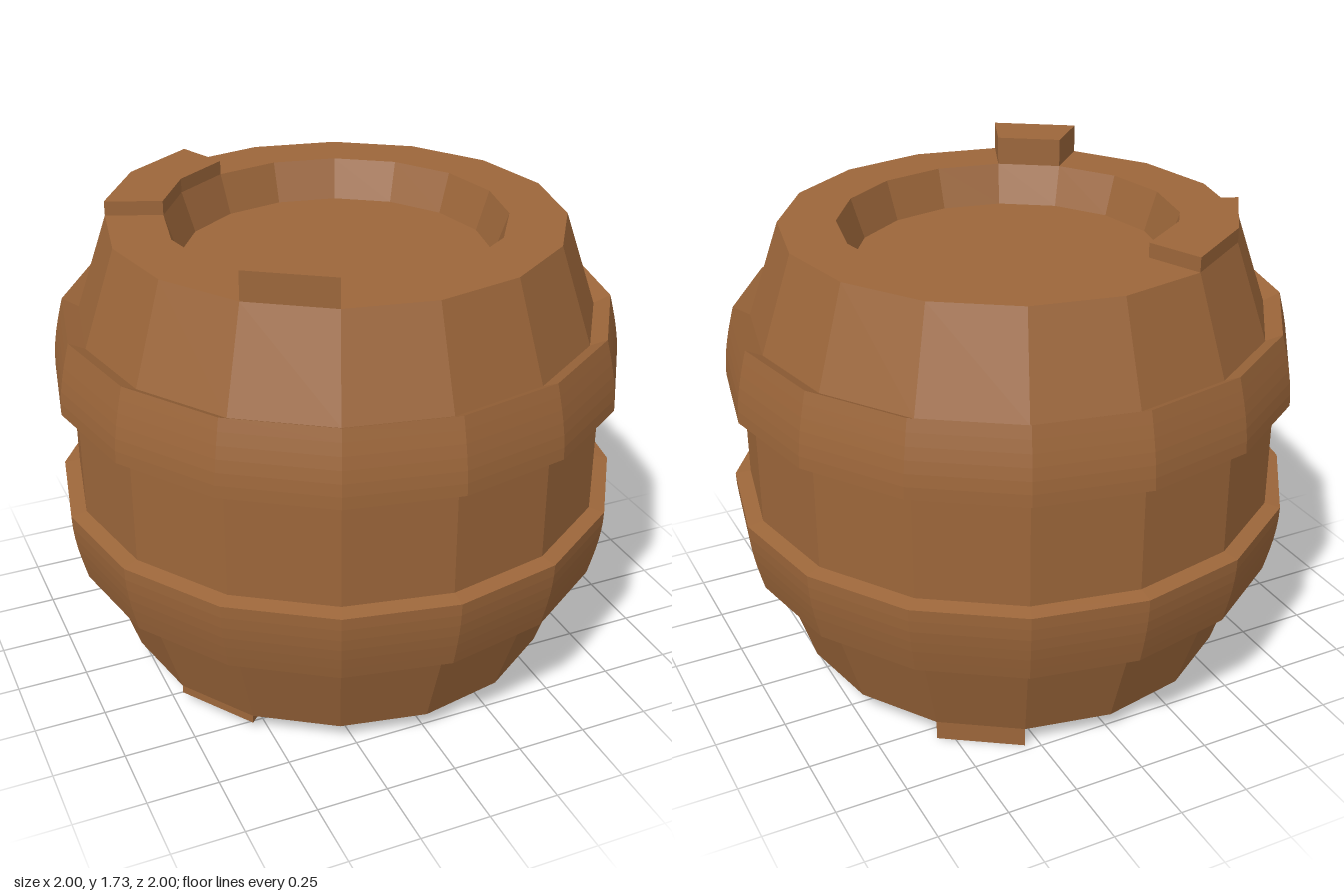
import * as THREE from 'three';

const SIDES = 16;
const STEP = (Math.PI * 2) / SIDES;
const RIM_INNER = 0.587;
const RIM_OUTER = 0.785;

const wood = new THREE.MeshStandardMaterial({ color: 0x9c663a, flatShading: true });

function part(name, geometry) {
  const flat = geometry.index ? geometry.toNonIndexed() : geometry;
  flat.computeVertexNormals();
  const mesh = new THREE.Mesh(flat, wood);
  mesh.name = name;
  return mesh;
}

// Bulging hoop profile: radius 0.957 at yThin, swelling to 1 at yWide
function hoop(yThin, yWide, steps = 6) {
  const points = [];
  for (let i = 0; i <= steps; i++) {
    const t = i / steps;
    points.push([0.957 + 0.043 * Math.sin((t * Math.PI) / 2), yThin + (yWide - yThin) * t]);
  }
  return points;
}

// Raised stave end: a block over rim facets first..last, from y0 to y1
function staveEnd(name, first, last, y0, y1) {
  const points = [];
  const add = (r, i) => points.push(new THREE.Vector2(r * Math.cos(i * STEP), r * Math.sin(i * STEP)));
  for (let i = first; i <= last; i++) add(RIM_OUTER, i);
  for (let i = last; i >= first; i--) add(RIM_INNER, i);
  const geometry = new THREE.ExtrudeGeometry(new THREE.Shape(points), { depth: y1 - y0, bevelEnabled: false });
  geometry.rotateX(-Math.PI / 2).translate(0, y0, 0);
  return part(name, geometry);
}

export function createModel() {
  const group = new THREE.Group();
  group.name = 'barrel';

  // Body with recessed ends, two hoops and a straight waist
  const profile = [
    [0, 0.21], [0.54, 0.21], [RIM_INNER, 0.07], [RIM_OUTER, 0.07], [0.905, 0.44],
    ...hoop(0.41, 0.67),
    [0.945, 0.68], [0.945, 1.06],
    ...hoop(1.325, 1.07).reverse(),
    [0.9, 1.295], [RIM_OUTER, 1.63], [RIM_INNER, 1.63], [0.54, 1.49], [0, 1.49],
  ].map(([r, y]) => new THREE.Vector2(r, y));
  // The upper hoop runs from its wide lower edge to its thin upper edge
  group.add(part('barrelBody', new THREE.LatheGeometry(profile, SIDES)));

  // Uneven stave ends on the top and bottom rims
  group.add(
    staveEnd('topStaveBack', 5, 7, 1.63, 1.68),
    staveEnd('topStaveFront', 10, 11, 1.63, 1.73),
    staveEnd('bottomStaveBack', 2, 3, 0, 0.07),
    staveEnd('bottomStaveFront', 9, 10, 0.04, 0.07),
  );
  return group;
}
